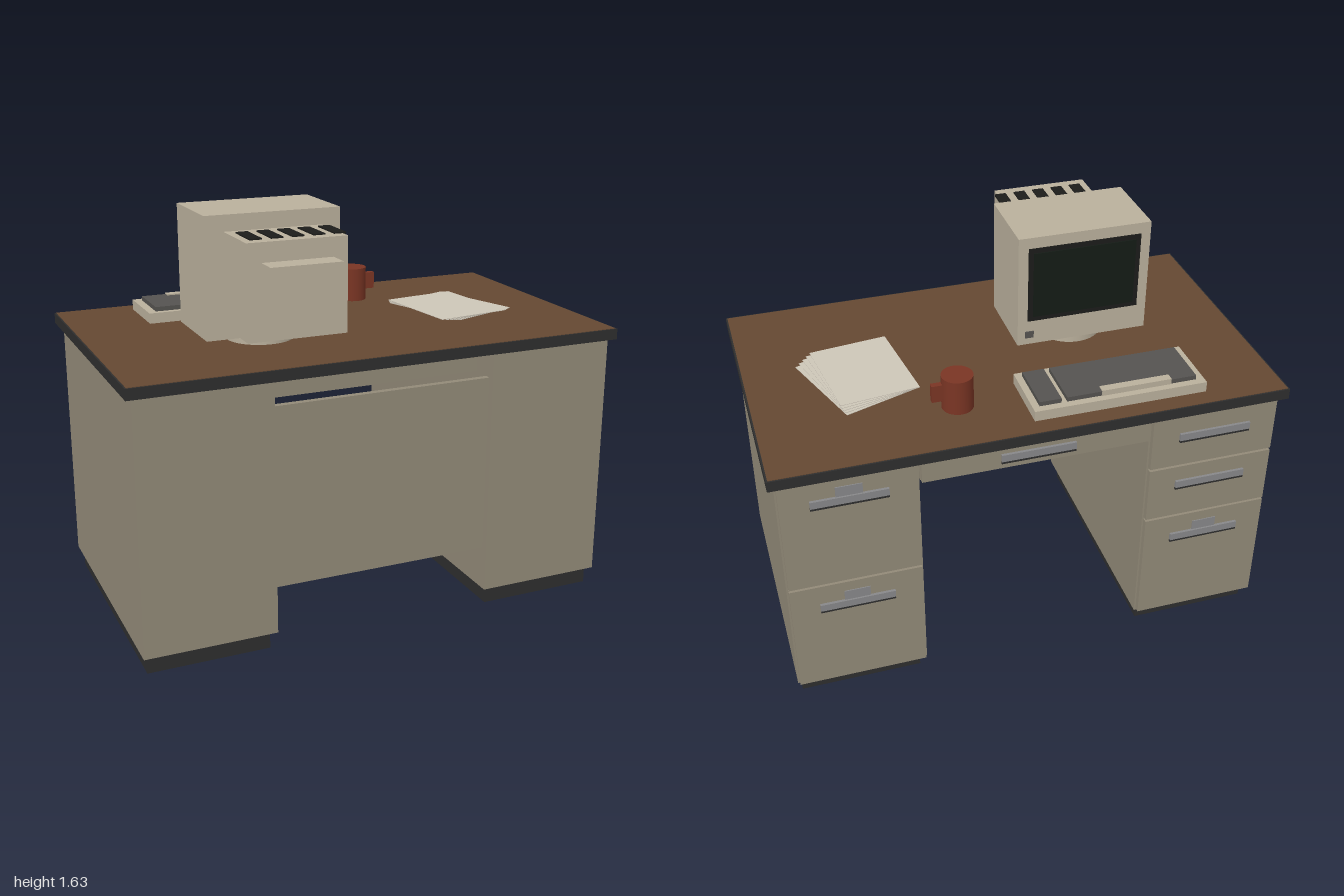
import * as THREE from 'three';

const mat = (color) => new THREE.MeshStandardMaterial({ color });
const M = {
  metal: mat(0x928a78), dark: mat(0x2e2e2e), wood: mat(0x654832), chrome: mat(0x88888a),
  plastic: mat(0xbab09c), keys: mat(0x555350), black: mat(0x1c1c1a), glass: mat(0x141c16),
  mug: mat(0x7a3524), paper: mat(0xcdc6b8),
};

// Box given by its min and max on each axis
function box(parent, name, material, [x0, x1], [y0, y1], [z0, z1]) {
  const mesh = new THREE.Mesh(new THREE.BoxGeometry(x1 - x0, y1 - y0, z1 - z0), material);
  mesh.position.set((x0 + x1) / 2, (y0 + y1) / 2, (z0 + z1) / 2);
  mesh.name = name;
  parent.add(mesh);
  return mesh;
}

function group(parent, name) {
  const g = new THREE.Group();
  g.name = name;
  parent.add(g);
  return g;
}

// Drawer front with bar pull and optional card holder
function drawer(parent, x, [y0, y1], pullY, hasCard) {
  const g = group(parent, 'drawer');
  box(g, 'drawerFront', M.metal, x, [y0, y1], [-0.567, -0.545]);
  const c = (x[0] + x[1]) / 2;
  box(g, 'pull', M.chrome, [c - 0.145, c + 0.145], [pullY - 0.012, pullY + 0.018], [-0.578, -0.566]);
  box(g, 'pullShadow', M.dark, [c - 0.145, c + 0.145], [pullY - 0.022, pullY - 0.012], [-0.576, -0.566]);
  if (hasCard) box(g, 'cardHolder', M.chrome, [c - 0.05, c + 0.05], [pullY + 0.018, pullY + 0.06], [-0.571, -0.566]);
}

function buildDesk(root) {
  const desk = group(root, 'desk');
  // Top: dark edging with a wood panel showing on both faces
  box(desk, 'topEdge', M.dark, [-1, 1], [1.08, 1.123], [-0.592, 0.56]);
  box(desk, 'topPanel', M.wood, [-0.994, 0.994], [1.078, 1.125], [-0.586, 0.554]);

  // Pedestals on recessed plinths
  for (const s of [-1, 1]) {
    const span = (a, b) => (s > 0 ? [a, b] : [-b, -a]);
    box(desk, 'pedestal', M.metal, span(0.45, 0.975), [0.075, 1.08], [-0.545, 0.535]);
    box(desk, 'plinth', M.dark, span(0.472, 0.957), [0, 0.075], [-0.51, 0.505]);
  }
  // Two deep drawers on one side, three on the other
  const left = [0.457, 0.968], right = [-0.968, -0.457];
  drawer(desk, left, [0.585, 1.07], 0.97, true);
  drawer(desk, left, [0.085, 0.575], 0.472, true);
  drawer(desk, right, [0.835, 1.07], 0.97, false);
  drawer(desk, right, [0.585, 0.825], 0.742, false);
  drawer(desk, right, [0.085, 0.575], 0.472, true);

  // Kneehole: shallow centre drawer and modesty panel
  drawer(desk, [-0.445, 0.445], [0.978, 1.075], 1.025, false);
  box(desk, 'centreDrawerBody', M.metal, [-0.447, 0.447], [0.975, 1.08], [-0.545, 0.42]);
  box(desk, 'modestyPanel', M.metal, [-0.447, 0.447], [0.255, 0.975], [0.49, 0.515]);
}

function buildMonitor(root) {
  const m = group(root, 'monitor');
  const base = new THREE.Mesh(new THREE.CylinderGeometry(0.135, 0.135, 0.047, 32), M.plastic);
  base.name = 'swivelBase';
  base.position.set(-0.343, 1.1485, 0.1);
  m.add(base);
  box(m, 'cabinet', M.plastic, [-0.61, -0.075], [1.17, 1.635], [-0.065, 0.26]);
  box(m, 'tubeHousing', M.plastic, [-0.535, -0.15], [1.215, 1.573], [0.26, 0.5]);
  box(m, 'rearCap', M.plastic, [-0.48, -0.205], [1.26, 1.5], [0.5, 0.59]);
  box(m, 'screenFrame', M.black, [-0.57, -0.115], [1.275, 1.59], [-0.069, -0.064]);
  box(m, 'screen', M.glass, [-0.55, -0.135], [1.295, 1.57], [-0.073, -0.068]);
  box(m, 'powerButton', M.keys, [-0.14, -0.105], [1.2, 1.228], [-0.07, -0.064]);
  for (let i = 0; i < 5; i++) {
    const x = -0.482 + i * 0.0803;
    box(m, 'vent', M.black, [x - 0.023, x + 0.023], [1.57, 1.578], [0.305, 0.455]);
  }
}

function buildKeyboard(root) {
  const k = group(root, 'keyboard');
  box(k, 'keyboardCase', M.plastic, [-0.685, 0], [1.125, 1.167], [-0.515, -0.25]);
  box(k, 'mainKeys', M.keys, [-0.652, -0.135], [1.165, 1.185], [-0.485, -0.275]);
  box(k, 'numberKeys', M.keys, [-0.113, -0.027], [1.165, 1.185], [-0.485, -0.275]);
  box(k, 'spaceBar', M.plastic, [-0.55, -0.272], [1.165, 1.19], [-0.488, -0.455]);
}

function buildMug(root) {
  const g = group(root, 'mug');
  const body = new THREE.Mesh(new THREE.CylinderGeometry(0.061, 0.061, 0.14, 32), M.mug);
  body.name = 'mugBody';
  body.position.set(0.245, 1.195, -0.335);
  g.add(body);
  box(g, 'mugHandle', M.mug, [0.295, 0.346], [1.165, 1.235], [-0.347, -0.323]);
}

// Fanned sheets, the most turned one at the bottom
function buildPapers(root) {
  const g = group(root, 'papers');
  const n = 5;
  for (let i = 0; i < n; i++) {
    const t = i / (n - 1);
    const sheet = new THREE.Mesh(new THREE.BoxGeometry(0.315, 0.002, 0.4), M.paper);
    sheet.name = 'sheet';
    sheet.position.set(0.57 - 0.035 * t, 1.127 + 0.011 * t, -0.04 + 0.028 * t);
    sheet.rotation.y = THREE.MathUtils.degToRad(19 - 12 * t);
    g.add(sheet);
  }
}

export function createModel() {
  const root = new THREE.Group();
  root.name = 'officeDesk';
  buildDesk(root);
  buildMonitor(root);
  buildKeyboard(root);
  buildMug(root);
  buildPapers(root);
  return root;
}
